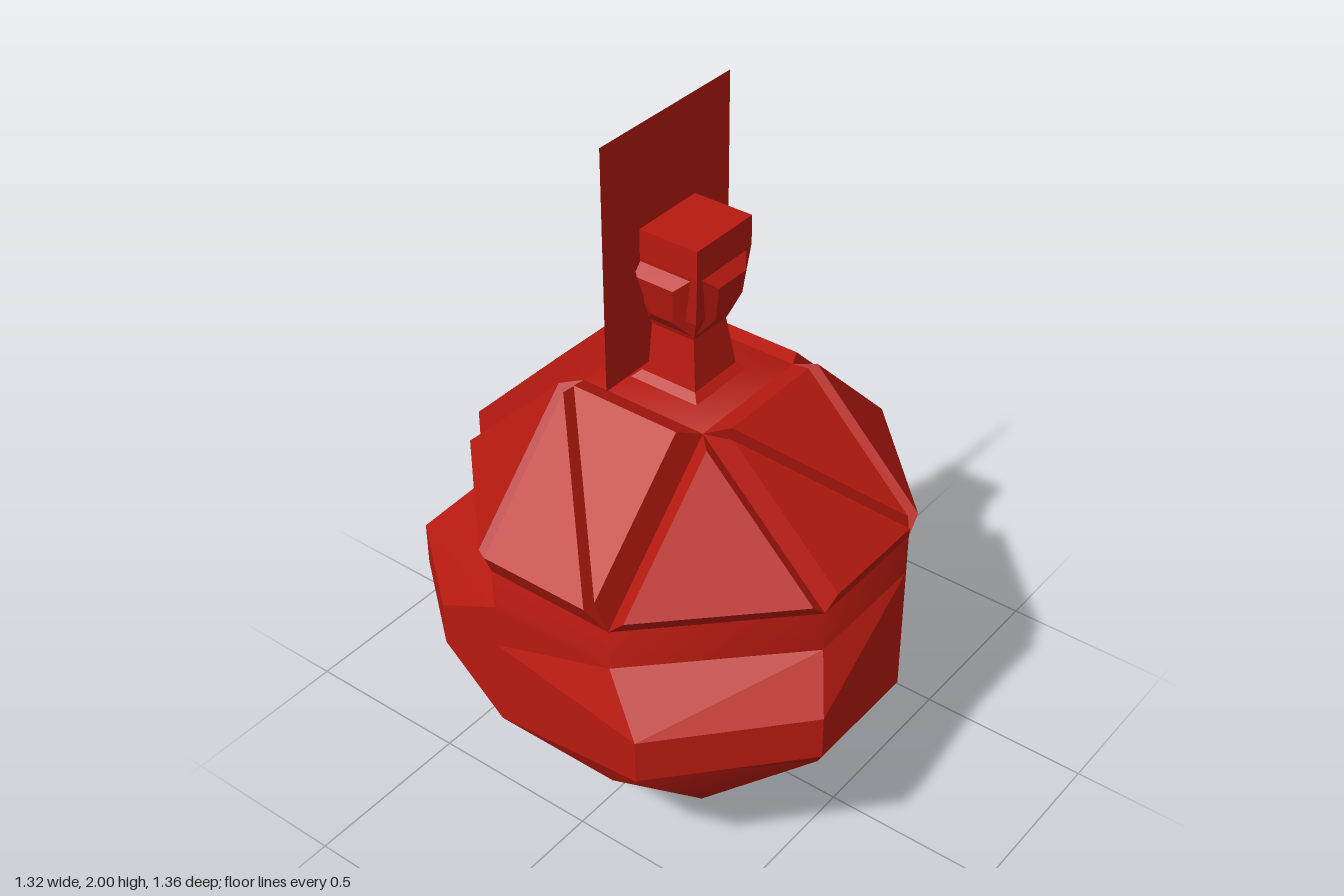
import * as THREE from 'three';
import { toCreasedNormals } from 'three/addons/utils/BufferGeometryUtils.js';
import { ConvexGeometry } from 'three/addons/geometries/ConvexGeometry.js';

const V = (x, y, z) => new THREE.Vector3(x, y, z);
const red = new THREE.MeshStandardMaterial({ color: 0xb81a10, flatShading: true, side: THREE.DoubleSide });
const redSmooth = new THREE.MeshStandardMaterial({ color: 0xb81a10, side: THREE.DoubleSide });

// Skin between rings of equal length, each counter-clockwise about the growth direction
function loft(rings, capped = true) {
  const pos = [];
  const tri = (a, b, c) => {
    if (a.equals(b) || b.equals(c) || a.equals(c)) return;
    for (const p of [a, b, c]) pos.push(p.x, p.y, p.z);
  };
  for (let i = 0; i < rings.length - 1; i++) {
    const lo = rings[i], hi = rings[i + 1], n = lo.length;
    for (let j = 0; j < n; j++) {
      const k = (j + 1) % n;
      tri(lo[j], lo[k], hi[k]);
      tri(lo[j], hi[k], hi[j]);
    }
  }
  const top = rings[rings.length - 1];
  if (capped) for (let j = 1; j < top.length - 1; j++) tri(top[0], top[j], top[j + 1]);
  const g = new THREE.BufferGeometry();
  g.setAttribute('position', new THREE.Float32BufferAttribute(pos, 3));
  g.computeVertexNormals();
  return g;
}

function add(parent, name, geometry, material = red) {
  const mesh = new THREE.Mesh(geometry, material);
  mesh.name = name;
  parent.add(mesh);
  return mesh;
}

const CX = 0.02, CZ = 0.04, A = 0.19, R = 0.57;
const TOP = 1.27, UP = 0.89, LOW = 0.38;

// Quarter turns about the body axis, from front to right to back to left
function turn(x, y, z, k) {
  for (let i = 0; i < k; i++) [x, z] = [z, -x];
  return V(CX + x, y, CZ + z);
}

// Raised triangular panel: inset copy of a base triangle pushed along its normal
function panel(a, b, c, depth, inset) {
  const mid = a.clone().add(b).add(c).divideScalar(3);
  const normal = b.clone().sub(a).cross(c.clone().sub(a)).normalize();
  let base = [a, b, c];
  if (normal.dot(mid.clone().sub(V(CX, 0.63, CZ))) < 0) {
    base = [a, c, b];
    normal.negate();
  }
  const top = base.map(p => p.clone().lerp(mid, inset).addScaledVector(normal, depth));
  return loft([base, top]);
}

export function createModel() {
  const model = new THREE.Group();
  model.name = 'ornament';

  // Faceted ball
  const points = [];
  for (let k = 0; k < 4; k++) {
    points.push(turn(A, TOP, A, k), turn(A, 0, A, k));
    for (const y of [LOW, UP]) points.push(turn(-A, y, R, k), turn(A, y, R, k));
  }
  add(model, 'ball', toCreasedNormals(new ConvexGeometry(points), 0.86), redSmooth);

  // Raised panels over the shoulders: two on each side, one on each corner
  const panels = new THREE.Group();
  panels.name = 'shoulderPanels';
  model.add(panels);
  const depths = [0.09, 0.06, 0.035, 0.08];
  for (let k = 0; k < 4; k++) {
    const t0 = turn(-A, TOP, A, k), t1 = turn(A, TOP, A, k);
    const l0 = turn(-A, UP, R, k), l1 = turn(A, UP, R, k);
    const halves = k === 2 ? [[t0, t1, l0], [t1, l1, l0]] : [[t0, t1, l1], [t0, l1, l0]];
    for (const h of halves) add(panels, 'sidePanel', panel(...h, depths[k], 0.15));
    add(panels, 'cornerPanel', panel(t1, l1, turn(R, UP, A, k), 0.05, 0.13));
  }

  // Uneven belt: base x, z then outer x, z, going round from the front
  const columns = [
    [-0.17, 0.61, -0.17, 0.61],
    [0.21, 0.61, 0.34, 0.675],
    [0.59, 0.23, 0.66, 0.32],
    [0.59, -0.15, 0.59, -0.15],
    [0.21, -0.53, 0.34, -0.53],
    [0.21, -0.53, 0.19, -0.68],
    [-0.17, -0.53, -0.15, -0.68],
    [-0.17, -0.53, -0.29, -0.53],
    [-0.55, -0.15, -0.55, -0.15],
    [-0.55, 0.23, -0.66, 0.27],
    [-0.55, 0.23, -0.66, 0.36],
    [-0.17, 0.61, -0.39, 0.58],
  ];
  const baseRing = y => columns.map(c => V(c[0], y, c[1]));
  const outerRing = y => columns.map(c => V(c[2], y, c[3]));
  add(model, 'belt', loft([baseRing(LOW), outerRing(0.51), outerRing(0.64), baseRing(0.77)], false));

  // Neck and head share one square section
  const square = (y, h) => [[-h, h], [h, h], [h, -h], [-h, -h]].map(([x, z]) => V(0.02 + x, y, 0.04 + z));
  add(model, 'neck', loft([square(1.26, 0.115), square(1.29, 0.085), square(1.44, 0.065)]));
  add(model, 'head', loft([square(1.43, 0.068), square(1.5, 0.095), square(1.64, 0.11), square(1.72, 0.11)]));

  // Blunt bumps on the four sides of the head
  for (let k = 0; k < 4; k++) {
    const base = [[-0.07, 1.44, 0.07], [0.07, 1.44, 0.07], [0.1, 1.64, 0.1], [-0.1, 1.64, 0.1]];
    const tip = [[-0.035, 1.49, 0.11], [0.035, 1.49, 0.11], [0.055, 1.6, 0.135], [-0.055, 1.6, 0.135]];
    add(model, 'headBump', loft([base, tip].map(r => r.map(p => turn(...p, k)))));
  }

  // Upright sheet with a shallow ridge on its outer side
  const corners = [[1.32, -0.21], [1.32, 0.29], [2, 0.29], [2, -0.21]].map(([y, z]) => V(-0.045, y, z));
  const apex = corners.map(() => V(-0.09, 1.57, 0.12));
  add(model, 'sheet', loft([corners], true));
  add(model, 'sheetRidge', loft([corners, apex], false));

  return model;
}
